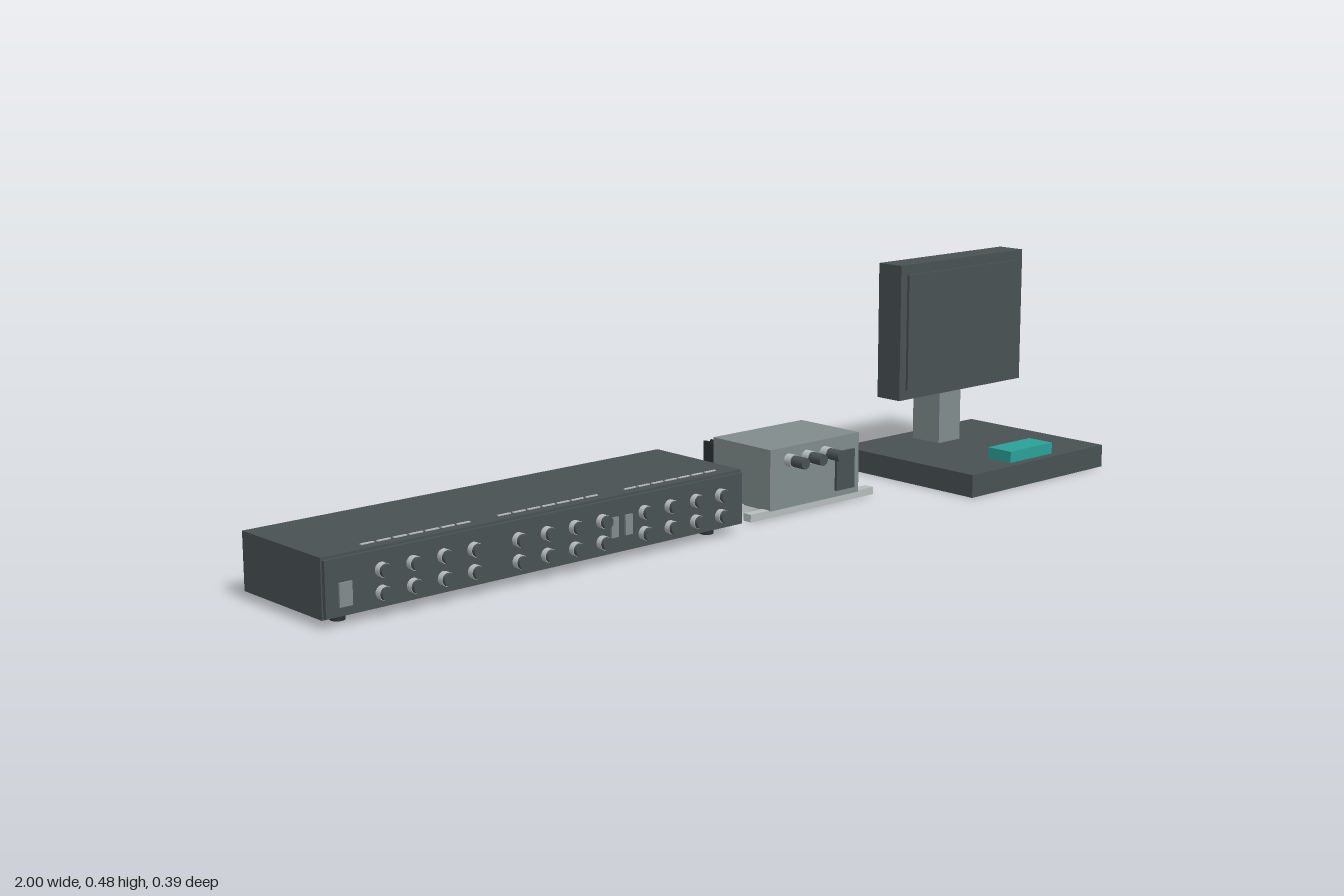
import * as THREE from 'three';

const mat = (name, color) => Object.assign(new THREE.MeshStandardMaterial({ color }), { name });

export function createModel() {
  const dark = mat('charcoal', 0x485153);
  const black = mat('black', 0x2b3133);
  const gray = mat('mid gray', 0x818c8c);
  const light = mat('light gray', 0xb6bcbc);
  const teal = mat('teal', 0x2aa198);
  const root = new THREE.Group();
  root.name = 'equipmentSet';

  const group = (name) => {
    const g = new THREE.Group();
    g.name = name;
    root.add(g);
    return g;
  };
  // Box given by its limits on each axis
  const box = (g, name, m, x0, x1, y0, y1, z0, z1) => {
    const mesh = new THREE.Mesh(new THREE.BoxGeometry(x1 - x0, y1 - y0, z1 - z0), m);
    mesh.position.set((x0 + x1) / 2, (y0 + y1) / 2, (z0 + z1) / 2);
    mesh.name = name;
    g.add(mesh);
  };
  // Cylinder centred at a point along the chosen axis
  const rod = (g, name, m, r, length, axis, x, y, z) => {
    const geo = new THREE.CylinderGeometry(r, r, length, 20);
    if (axis === 'z') geo.rotateX(Math.PI / 2);
    if (axis === 'x') geo.rotateZ(Math.PI / 2);
    const mesh = new THREE.Mesh(geo, m);
    mesh.position.set(x, y, z);
    mesh.name = name;
    g.add(mesh);
  };

  // Long rack unit
  const rack = group('rackUnit');
  box(rack, 'rackBody', dark, -1, -0.005, 0.016, 0.129, -0.188, 0.066);
  box(rack, 'rackFacePlate', dark, -0.997, -0.008, 0.019, 0.124, 0.066, 0.074);
  for (const x of [-0.945, -0.065])
    for (const z of [-0.15, 0.03]) rod(rack, 'rackFoot', black, 0.014, 0.018, 'y', x, 0.009, z);

  // Two rows of jacks in three banks, with marker lights on the lid
  for (const start of [-0.88, -0.577, -0.27]) {
    for (let i = 0; i < 4; i++) {
      const x = start + i * 0.067;
      for (const y of [0.046, 0.088]) {
        rod(rack, 'jackCollar', light, 0.0135, 0.014, 'z', x, y, 0.08);
        rod(rack, 'jackTip', dark, 0.0125, 0.008, 'z', x, y, 0.091);
      }
    }
    for (let i = 0; i < 7; i++) {
      const x = start - 0.02 + i * 0.035;
      box(rack, 'lidMarker', light, x, x + 0.029, 0.129, 0.131, 0.038, 0.043);
    }
  }
  box(rack, 'powerSwitch', gray, -0.97, -0.943, 0.036, 0.08, 0.074, 0.078);
  for (const x of [-0.345, -0.31])
    box(rack, 'dataPort', gray, x - 0.009, x + 0.009, 0.05, 0.09, 0.074, 0.078);

  // Rear panel and sockets
  box(rack, 'rearPlate', dark, -0.99, -0.015, 0.022, 0.123, -0.191, -0.188);
  for (const x of [-0.925, -0.8, -0.695, -0.11])
    box(rack, 'rearSocket', black, x - 0.03, x + 0.03, 0.04, 0.076, -0.194, -0.191);

  // Small amplifier on three rails
  const amp = group('amplifier');
  box(amp, 'ampBody', gray, 0.108, 0.37, 0.016, 0.146, -0.138, 0.035);
  for (const z of [-0.13, -0.054, 0.022])
    box(amp, 'mountingRail', light, 0.055, 0.418, 0.002, 0.018, z - 0.011, z + 0.011);
  for (const x of [0.16, 0.212, 0.265]) {
    rod(amp, 'knobCollar', light, 0.0135, 0.018, 'z', x, 0.118, 0.044);
    rod(amp, 'knob', dark, 0.012, 0.034, 'z', x, 0.118, 0.07);
  }
  box(amp, 'frontPanel', dark, 0.298, 0.352, 0.03, 0.114, 0.035, 0.041);
  rod(amp, 'sideConnector', dark, 0.012, 0.022, 'x', 0.381, 0.085, -0.058);

  // Rear cooling fins in two blocks
  for (const start of [0.128, 0.258]) {
    box(amp, 'finBase', black, start - 0.003, start + 0.093, 0.026, 0.128, -0.142, -0.138);
    for (let i = 0; i < 6; i++) {
      const x = start + i * 0.018;
      box(amp, 'coolingFin', black, x - 0.003, x + 0.003, 0.026, 0.128, -0.187, -0.142);
    }
  }

  // Display on a stand with a wide base
  const display = group('displayStation');
  box(display, 'deskBase', dark, 0.555, 1, 0, 0.05, -0.196, 0.196);
  box(display, 'stand', gray, 0.741, 0.812, 0.05, 0.347, -0.148, -0.068);
  box(display, 'displayCase', dark, 0.573, 0.981, 0.175, 0.476, -0.103, -0.037);
  box(display, 'screen', dark, 0.593, 0.961, 0.197, 0.454, -0.037, -0.031);
  box(display, 'keypad', teal, 0.705, 0.846, 0.05, 0.075, 0.11, 0.175);

  return root;
}
